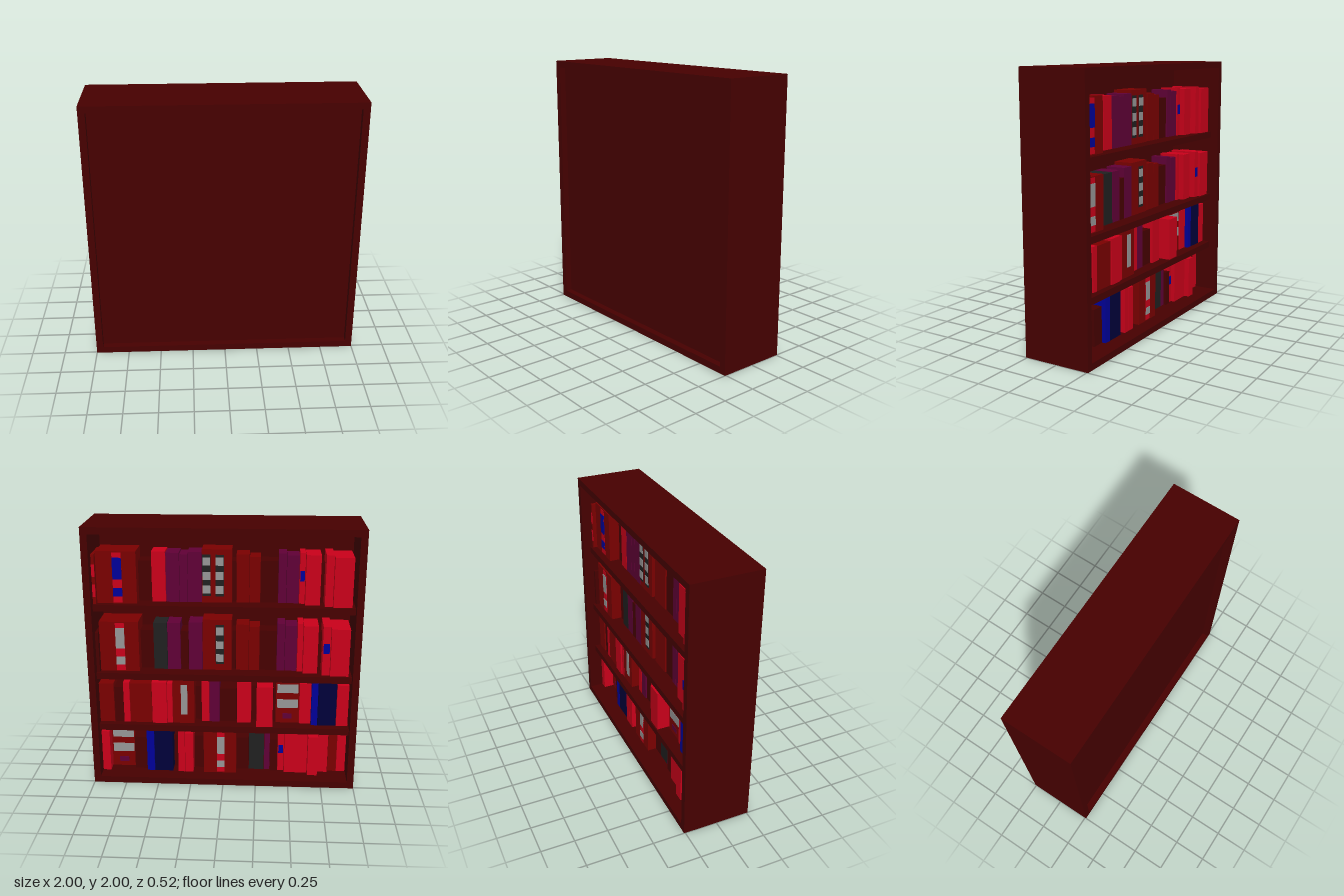
import * as THREE from 'three';

const mat = (name, color) => {
  const m = new THREE.MeshStandardMaterial({ color });
  m.name = name;
  return m;
};

export function createModel() {
  const model = new THREE.Group();
  model.name = 'bookcase';

  const wood = mat('mahogany', 0x470000);
  const darkRed = mat('darkRed', 0x7a0000);
  const crimson = mat('crimson', 0xca001a);
  const plum = mat('plum', 0x600036);
  const blue = mat('blue', 0x000098);
  const navy = mat('navy', 0x00003a);
  const charcoal = mat('charcoal', 0x202020);
  const grey = mat('grey', 0x969696);

  // Box given by its minimum and maximum corners
  const box = (parent, name, material, x0, x1, y0, y1, z0, z1) => {
    const mesh = new THREE.Mesh(new THREE.BoxGeometry(x1 - x0, y1 - y0, z1 - z0), material);
    mesh.position.set((x0 + x1) / 2, (y0 + y1) / 2, (z0 + z1) / 2);
    mesh.name = name;
    parent.add(mesh);
  };

  // Carcass: frame, recessed panel and shelves
  const D = 0.26, T = 0.05;
  for (const s of [-1, 1]) {
    const c = s * (1 - T / 2);
    box(model, s > 0 ? 'leftSide' : 'rightSide', wood, c - T / 2, c + T / 2, 0, 2, -D, D);
  }
  box(model, 'base', wood, -1 + T, 1 - T, 0, T, -D, D);
  box(model, 'top', wood, -1 + T, 1 - T, 2 - T, 2, -D, D);
  box(model, 'panel', wood, -1 + T, 1 - T, T, 2 - T, D - 2 * T, D - T);
  for (const y of [0.47, 0.89, 1.42]) {
    box(model, 'shelf', wood, -1 + T, 1 - T, y - T, y, -D + 0.06, D - 2 * T);
  }

  // Column of grey marks on a charcoal band, starting at fraction u across a spine
  const dotColumn = (u) => [
    [charcoal, u, u + 0.28, 0.12, 0.9],
    ...[0.17, 0.43, 0.7].map((v) => [grey, u + 0.01, u + 0.27, v, v + 0.15, 2]),
  ];
  // Two-tone central stripe on a wide spine
  const stripe = (accent) => [
    [crimson, 0.41, 0.64, 0.02, 0.98],
    [accent, 0.41, 0.64, 0.47, 0.88, 2],
    [accent, 0.41, 0.64, 0.14, 0.3, 2],
  ];

  // Book kinds: cover, height, painted spine details as fractions across and up
  const book = (cover, height, details = []) => ({ cover, height, details });
  const kinds = {
    brown: book(wood, 0.31),
    maroon: book(darkRed, 0.35),
    red: book(crimson, 0.37),
    redPatch: book(crimson, 0.37, [[blue, 0.1, 0.9, 0.45, 0.65]]),
    redBands: book(darkRed, 0.37, [[crimson, 0, 1, 0.15, 0.4], [crimson, 0, 1, 0.55, 0.8]]),
    purple: book(plum, 0.365),
    blue: book(blue, 0.39),
    navy: book(navy, 0.39),
    charcoal: book(charcoal, 0.36),
    blueStripe: book(darkRed, 0.38, stripe(blue)),
    greyStripe: book(darkRed, 0.38, stripe(grey)),
    greyPanel: book(darkRed, 0.39, [[grey, 0.38, 0.68, 0.2, 0.88]]),
    greyBands: book(darkRed, 0.39, [[grey, 0.05, 0.95, 0.7, 0.9], [grey, 0.05, 0.95, 0.35, 0.55], [plum, 0.3, 0.7, 0.1, 0.22]]),
    dots: book(darkRed, 0.4, dotColumn(0.45)),
    twoDots: book(darkRed, 0.4, [...dotColumn(0.01), ...dotColumn(0.45)]),
  };

  // Fill one shelf from the left side with [kind, width, setback], in hundredths
  const fillShelf = (name, y, scale, books) => {
    const row = new THREE.Group();
    row.name = name;
    let x1 = 0.95;
    books.forEach(([kind, width, setback], i) => {
      const { cover, height, details } = kinds[kind];
      const x0 = x1 - width / 100;
      const w = x1 - x0 - 0.003;
      const h = height * scale * (1 + 0.025 * Math.sin(i * 2.3));
      const z = -D + setback / 100;
      const group = new THREE.Group();
      group.name = 'book';
      box(group, 'cover', cover, x1 - w, x1, y, y + h, z, -D + 0.32);
      for (const [m, u0, u1, v0, v1, layer = 1] of details) {
        box(group, 'spineDetail', m, x1 - u1 * w, x1 - u0 * w, y + v0 * h, y + v1 * h, z - 0.003 * layer, z);
      }
      row.add(group);
      x1 = x0;
    });
    model.add(row);
  };

  // The two upper shelves repeat one arrangement with a few books swapped
  const upperBooks = (first, striped, tall, thin, dotted, hidden, late) => [
    [first, 2.6, 8], [striped, 29.6, 11], ['brown', 10, 19], [tall, 10.4, 17],
    ['purple', 10, 17], [thin, 6, 17], ['purple', 10.4, 17], [dotted, 22, 17], ['brown', 3, 20],
    ['maroon', 9.7, 18], ['maroon', 8, 18], ['brown', 12.8, 19], ['purple', 6, 18], ['purple', 9.2, 18],
    [hidden, 4.3, 17], ['red', 11, 13], ['brown', 3, 20], [late, 6, 10], ['red', 14, 8],
  ];
  fillShelf('topShelfBooks', 1.42, 1,
    upperBooks('redBands', 'blueStripe', 'red', 'purple', 'twoDots', 'redPatch', 'red'));
  fillShelf('upperShelfBooks', 0.89, 1,
    upperBooks('brown', 'greyStripe', 'charcoal', 'brown', 'dots', 'red', 'redPatch'));

  fillShelf('lowerShelfBooks', 0.47, 0.9, [
    ['maroon', 11.5, 11], ['brown', 7, 12], ['red', 5, 11], ['maroon', 17, 11], ['red', 11.5, 10],
    ['red', 4.2, 11], ['greyPanel', 16.8, 11], ['brown', 5, 19], ['red', 6, 15], ['purple', 8, 15],
    ['brown', 13, 16], ['red', 11, 14], ['brown', 4, 20], ['red', 12.6, 7], ['brown', 2, 17],
    ['greyBands', 18, 16], ['red', 9, 15], ['blue', 5, 12], ['navy', 14, 12], ['red', 9, 12],
  ]);
  fillShelf('bottomBooks', 0.05, 0.9, [
    ['red', 6.5, 11], ['greyBands', 18.5, 19], ['brown', 10, 15], ['blue', 6, 12], ['navy', 14.5, 12],
    ['brown', 4, 20], ['red', 5.5, 11], ['red', 6.5, 11], ['brown', 8, 19], ['greyStripe', 25.5, 11],
    ['brown', 9.5, 18], ['charcoal', 12, 18], ['purple', 4.5, 18], ['brown', 6, 16], ['redPatch', 5, 17],
    ['red', 18, 14], ['red', 8, 10], ['red', 8, 16], ['maroon', 7, 18], ['red', 7, 18],
  ]);

  return model;
}
